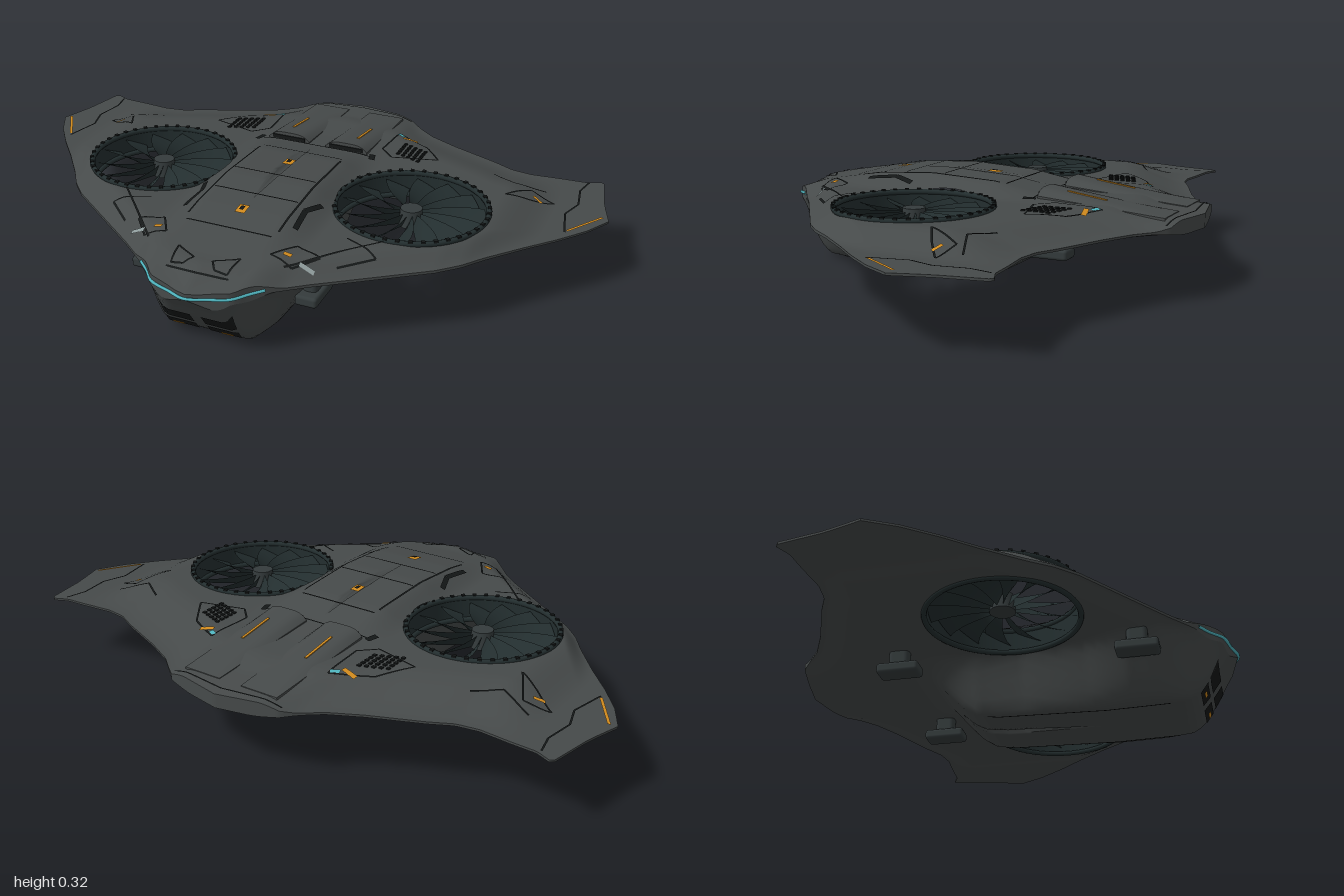
import * as THREE from 'three';
import { RoundedBoxGeometry } from 'three/addons/geometries/RoundedBoxGeometry.js';

const mat = (name, color, side = THREE.FrontSide) => {
  const m = new THREE.MeshStandardMaterial({ color, side });
  m.name = name;
  return m;
};
const { smoothstep: smooth, lerp: mix } = THREE.MathUtils;

// Piecewise-linear lookup; keys ascend
function table(points) {
  return (k) => {
    if (k <= points[0][0]) return points[0][1];
    for (let i = 1; i < points.length; i++) {
      const [a, va] = points[i - 1], [b, vb] = points[i];
      if (k <= b) return mix(va, vb, (k - a) / (b - a));
    }
    return points[points.length - 1][1];
  };
}

// Plan outline: leading and trailing edge by distance from the centreline
const lead = table([[0, 0.71], [0.13, 0.67], [0.17, 0.625], [0.3, 0.52], [0.45, 0.41], [0.6, 0.3], [0.66, 0.24], [0.71, 0.17],
  [0.8, 0.06], [0.88, -0.03], [0.95, -0.12], [1, -0.21]]);
const trail = table([[0, -0.72], [0.2, -0.68], [0.3, -0.6], [0.4, -0.55], [0.56, -0.485], [0.63, -0.45], [0.7, -0.44],
  [0.8, -0.45], [0.88, -0.455], [0.935, -0.48], [0.95, -0.4], [0.965, -0.32], [1, -0.21]]);
// Side profile of the spine and keel, and the keel's widths
const spine = table([[-0.72, 0.235], [-0.23, 0.275], [-0.09, 0.305], [0.14, 0.317], [0.33, 0.305], [0.56, 0.265], [0.69, 0.222], [0.71, 0.21]]);
const keel = table([[-0.33, 0.19], [-0.255, 0.155], [-0.19, 0.08], [-0.15, 0.04], [-0.11, 0.018], [-0.04, 0.009], [0.3, 0], [0.55, 0.006],
  [0.575, 0.02], [0.6, 0.045], [0.64, 0.1], [0.68, 0.16], [0.71, 0.198]]);
const keelTop = table([[-0.3, 0.26], [-0.15, 0.22], [0.04, 0.2], [0.25, 0.24], [0.38, 0.3], [0.48, 0.29], [0.6, 0.21], [0.7, 0.13]]);
const keelFlat = table([[-0.25, 0.1], [-0.1, 0.14], [0.45, 0.145], [0.6, 0.12], [0.7, 0.06]]);

function topY(x, z) {
  const a = Math.abs(x), f = lead(a) - z, b = z - trail(a);
  const wing = 0.215 + 0.05 * smooth(f, -0.015, 0.11) * smooth(b, 0, 0.24) * (1 - smooth(a, 0.67, 0.83));
  return mix(wing, Math.max(wing, spine(z)), 1 - smooth(a, 0.13, 0.25));
}
function bottomY(x, z) {
  const a = Math.abs(x), d = Math.min(lead(a) - z, z - trail(a));
  const wing = 0.208 - 0.018 * smooth(d, 0, 0.1) * (1 - smooth(a, 0.68, 0.82));
  return mix(wing, Math.min(wing, keel(z)), 1 - smooth(a, keelFlat(z), keelTop(z)));
}

const FAN = { x: 0.437, z: 0.04, r: 0.235 };

// Skin over the outline with two round fan openings
function skin(heightAt, up) {
  const nx = 160, nz = 84, pos = [], inside = [], idx = [];
  for (let i = 0; i <= nx; i++) for (let j = 0; j <= nz; j++) {
    let x = -1 + 2 * i / nx;
    let z = mix(trail(Math.abs(x)), lead(Math.abs(x)), j / nz);
    const cx = Math.sign(x) * FAN.x, r = Math.hypot(x - cx, z - FAN.z), hit = r < FAN.r;
    if (hit && r > 0) {
      x = cx + (x - cx) * FAN.r / r;
      z = FAN.z + (z - FAN.z) * FAN.r / r;
    }
    inside.push(hit);
    pos.push(x, heightAt(x, z), z);
  }
  for (let i = 0; i < nx; i++) for (let j = 0; j < nz; j++) {
    const a = i * (nz + 1) + j, b = a + 1, c = a + nz + 1, d = c + 1;
    if (inside[a] && inside[b] && inside[c] && inside[d]) continue;
    if (up) idx.push(a, b, c, c, b, d);
    else idx.push(a, c, b, c, d, b);
  }
  return build(pos, idx);
}
function build(pos, idx) {
  const g = new THREE.BufferGeometry();
  g.setAttribute('position', new THREE.Float32BufferAttribute(pos, 3));
  g.setIndex(idx);
  g.computeVertexNormals();
  return g;
}
// Thin wall closing the gap between the skins along one edge
function rim(edge, front) {
  const pos = [], idx = [], n = 160;
  for (let i = 0; i <= n; i++) {
    const x = -1 + 2 * i / n, z = edge(Math.abs(x)), k = 2 * i;
    pos.push(x, bottomY(x, z), z, x, topY(x, z), z);
    if (i < n) idx.push(...(front ? [k, k + 2, k + 1, k + 1, k + 2, k + 3] : [k, k + 1, k + 2, k + 1, k + 3, k + 2]));
  }
  return build(pos, idx);
}
// Ribbon that follows a surface along a path of [x, z] points
function ribbon(path, width, heightAt, lift) {
  const pos = [], idx = [];
  for (let s = 1; s < path.length; s++) {
    const [ax, az] = path[s - 1], [bx, bz] = path[s], len = Math.hypot(bx - ax, bz - az);
    const px = -(bz - az) / len * width / 2, pz = (bx - ax) / len * width / 2, n = Math.ceil(len / 0.02);
    for (let i = 0; i <= n; i++) {
      const x = mix(ax, bx, i / n), z = mix(az, bz, i / n), k = pos.length / 3;
      for (const q of [-1, 1]) pos.push(x + q * px, heightAt(x + q * px, z + q * pz) + lift, z + q * pz);
      if (i < n) idx.push(k, k + 1, k + 2, k + 1, k + 3, k + 2);
    }
  }
  return build(pos, idx);
}

export function createModel() {
  const root = new THREE.Group();
  root.name = 'hoverCraft';
  const D = THREE.DoubleSide;
  const hull = mat('hull grey', 0x464a4a), line = mat('panel line black', 0x141717, D);
  const dark = mat('fan dark teal', 0x232e2f, D), metal = mat('machinery grey', 0x343b3c);
  const orange = mat('marker orange', 0xd08a1e, D), cyan = mat('light cyan', 0x4fb4be, D), pale = mat('pale grey', 0x8d9a9a, D);
  const add = (name, geo, m, parent = root, x = 0, y = 0, z = 0) => {
    const mesh = new THREE.Mesh(geo, m);
    mesh.name = name;
    mesh.position.set(x, y, z);
    parent.add(mesh);
    return mesh;
  };
  const mark = (name, path, w, m, lift = 0.003) => add(name, ribbon(path, w, topY, lift), m);

  // Body shell
  add('upperSkin', skin(topY, true), hull);
  add('lowerSkin', skin(bottomY, false), hull);
  add('leadingRim', rim(lead, true), hull);
  add('trailingRim', rim(trail, false), hull);

  // Pitched fan blade, swept slightly, from hub to duct
  const blade = new THREE.PlaneGeometry(1, 1, 6, 4);
  const bp = blade.attributes.position;
  for (let i = 0; i < bp.count; i++) {
    const u = bp.getX(i) + 0.5, v = bp.getY(i), r = mix(0.03, 0.23, u);
    const ang = v * mix(0.42, 0.35, u) + 0.16 * u * u;
    bp.setXYZ(i, r * Math.cos(ang), -v * 0.04, r * Math.sin(ang));
  }
  blade.computeVertexNormals();

  for (const s of [-1, 1]) {
    const side = s > 0 ? 'left' : 'right';
    const fan = new THREE.Group();
    fan.name = side + 'Fan';
    fan.position.set(s * FAN.x, 0, FAN.z);
    root.add(fan);
    add('duct', new THREE.CylinderGeometry(0.235, 0.235, 0.085, 64, 1, true), dark, fan, 0, 0.227, 0);
    for (const [y, r] of [[0.267, 0.238], [0.191, 0.234]])
      add('ductLip', new THREE.TorusGeometry(r, 0.009, 8, 64).rotateX(Math.PI / 2), dark, fan, 0, y, 0);
    for (let i = 0; i < 14; i++) add('blade', blade, dark, fan, 0, 0.232, 0).rotation.y = i * Math.PI / 7;
    add('hub', new THREE.CylinderGeometry(0.034, 0.04, 0.055, 24), metal, fan, 0, 0.235, 0);
    for (let i = 0; i < 40; i++) {
      const t = i * Math.PI / 20;
      add('lipBolt', new THREE.BoxGeometry(0.012, 0.006, 0.012), line, fan, 0.24 * Math.cos(t), 0.275, 0.24 * Math.sin(t)).rotation.y = -t;
    }

    // Landing pods on short pylons
    for (const z of [0.42, -0.33]) {
      add(side + 'Pylon', new RoundedBoxGeometry(0.045, 0.1, 0.065, 2, 0.015), metal, root, s * 0.27, 0.18, z);
      add(side + 'LandingPod', new RoundedBoxGeometry(0.07, 0.034, 0.135, 2, 0.01), metal, root, s * 0.272, 0.131, z);
    }

    // Tapered engine housing behind the spine
    const house = new THREE.BoxGeometry(1, 1, 1, 10, 1, 10), hp = house.attributes.position;
    for (let i = 0; i < hp.count; i++) {
      const u = 0.5 - hp.getZ(i), v = hp.getX(i), x = s * 0.105 + v * mix(0.15, 0.13, u), z = mix(-0.245, -0.65, u);
      const y = hp.getY(i) > 0 ? mix(0.3, 0.243, u) - 0.022 * (1 - u) * Math.pow(Math.abs(2 * v), 4) : 0.225;
      hp.setXYZ(i, x, y, z);
    }
    house.computeVertexNormals();
    add(side + 'EngineHousing', house, hull);
    add(side + 'EngineIntake', new THREE.BoxGeometry(0.12, 0.012, 0.004), line, root, s * 0.105, 0.283, -0.243);
    add(side + 'HousingLight', new THREE.BoxGeometry(0.008, 0.004, 0.13).rotateX(-0.14), orange, root, s * 0.12, 0.281, -0.385);

    // Panel seams and hatches as [x, z] paths
    const P = (pts) => pts.map(([x, z]) => [s * x, z]);
    const seams = {
      RearHatch: [[0.34, -0.41], [0.22, -0.475], [0.21, -0.32], [0.26, -0.27], [0.41, -0.31], [0.34, -0.41]],
      WingHatch: [[0.82, -0.25], [0.74, -0.27], [0.68, -0.16], [0.75, -0.2], [0.82, -0.25]],
      WingSeam: [[0.6, -0.32], [0.68, -0.27], [0.78, -0.31]],
      TipSeam: [[0.89, -0.45], [0.875, -0.38], [0.89, -0.28], [0.865, -0.2], [0.89, -0.08]],
      BowSeam: [[0.44, 0.28], [0.34, 0.39], [0.22, 0.52]],
      OuterBowSeam: [[0.33, 0.31], [0.44, 0.36], [0.35, 0.44]],
      BowHatch: [[0.17, 0.5], [0.22, 0.42], [0.3, 0.44], [0.24, 0.51], [0.17, 0.5]],
      NoseHatch: [[0.03, 0.59], [0.1, 0.55], [0.09, 0.62], [0.05, 0.62], [0.03, 0.59]],
      NoseSeam: [[0, 0.645], [0.1, 0.63]],
      SpineSeam: [[0.145, -0.1], [0.15, 0.4]],
    };
    for (const [n, p] of Object.entries(seams)) mark(side + n, P(p), 0.006, line);
    mark(side + 'ForwardScoop', P([[0.2, 0.19], [0.175, 0.26], [0.185, 0.36]]), 0.016, line, 0.006);
    mark(side + 'RearScoop', P([[0.2, -0.25], [0.21, -0.21]]), 0.02, line, 0.006);
    for (let i = 0; i < 5; i++) for (let j = 0; j < 5; j++) {
      const x = s * (0.27 + 0.02 * i), z = -0.39 + 0.02 * j + 0.008 * i;
      add(side + 'VentHole', new THREE.BoxGeometry(0.011, 0.004, 0.011), line, root, x, topY(x, z) + 0.002, z);
    }

    // Marker lights
    mark(side + 'TipStripe', P([[0.978, -0.22], [0.895, -0.09]]), 0.009, orange, 0.004);
    mark(side + 'RearMarker', P([[0.245, -0.435], [0.295, -0.445]]), 0.016, orange, 0.004);
    mark(side + 'RearLight', P([[0.22, -0.465], [0.245, -0.45]]), 0.014, cyan, 0.004);
    mark(side + 'WingMarker', P([[0.755, -0.235], [0.785, -0.22]]), 0.012, orange, 0.004);
    mark(side + 'BowMarker', P([[0.2, 0.475], [0.225, 0.475]]), 0.016, orange, 0.004);
    mark(side + 'BowLight', P([[0.255, 0.487], [0.3, 0.487]]), 0.012, pale, 0.004);

    // Bow grilles with lamps on the sloping front of the keel
    for (const [z, w] of [[0.604, 0.024], [0.638, 0.028]])
      add(side + 'Grille', ribbon([[s * 0.018, z], [s * 0.12, z]], w, bottomY, -0.006), line);
    add(side + 'GrilleLamp', ribbon([[s * 0.06, 0.606], [s * 0.1, 0.606]], 0.007, bottomY, -0.011), orange);
    add(side + 'KeelSeam', ribbon([[s * 0.13, -0.08], [s * 0.13, 0.5]], 0.005, bottomY, -0.004), line);
  }

  // Cross seams over the spine
  for (const [z, w] of [[-0.235, 0.2], [-0.12, 0.14], [0.1, 0.14], [0.24, 0.14], [0.43, 0.14]])
    mark('crossSeam', [[-w, z], [w, z]], 0.005, line);
  mark('tailSeam', [[-0.2, -0.665], [0, -0.69], [0.2, -0.665]], 0.005, line);

  // Square spine markers with dark centres
  for (const z of [-0.01, 0.335]) {
    mark('spineMarker', [[0, z - 0.021], [0, z + 0.021]], 0.032, orange, 0.004);
    mark('spineMarkerCentre', [[0, z - 0.01], [0, z + 0.01]], 0.013, line, 0.007);
  }

  // Light strip wrapped around the nose
  const strip = [-0.2, -0.165, -0.125, -0.06, 0, 0.06, 0.125, 0.165, 0.2].map((x) =>
    new THREE.Vector3(x, 0.203 + 0.4 * x * x, lead(Math.abs(x)) + 0.002));
  add('noseLight', new THREE.TubeGeometry(new THREE.CatmullRomCurve3(strip), 48, 0.005, 6), cyan);

  return root;
}
